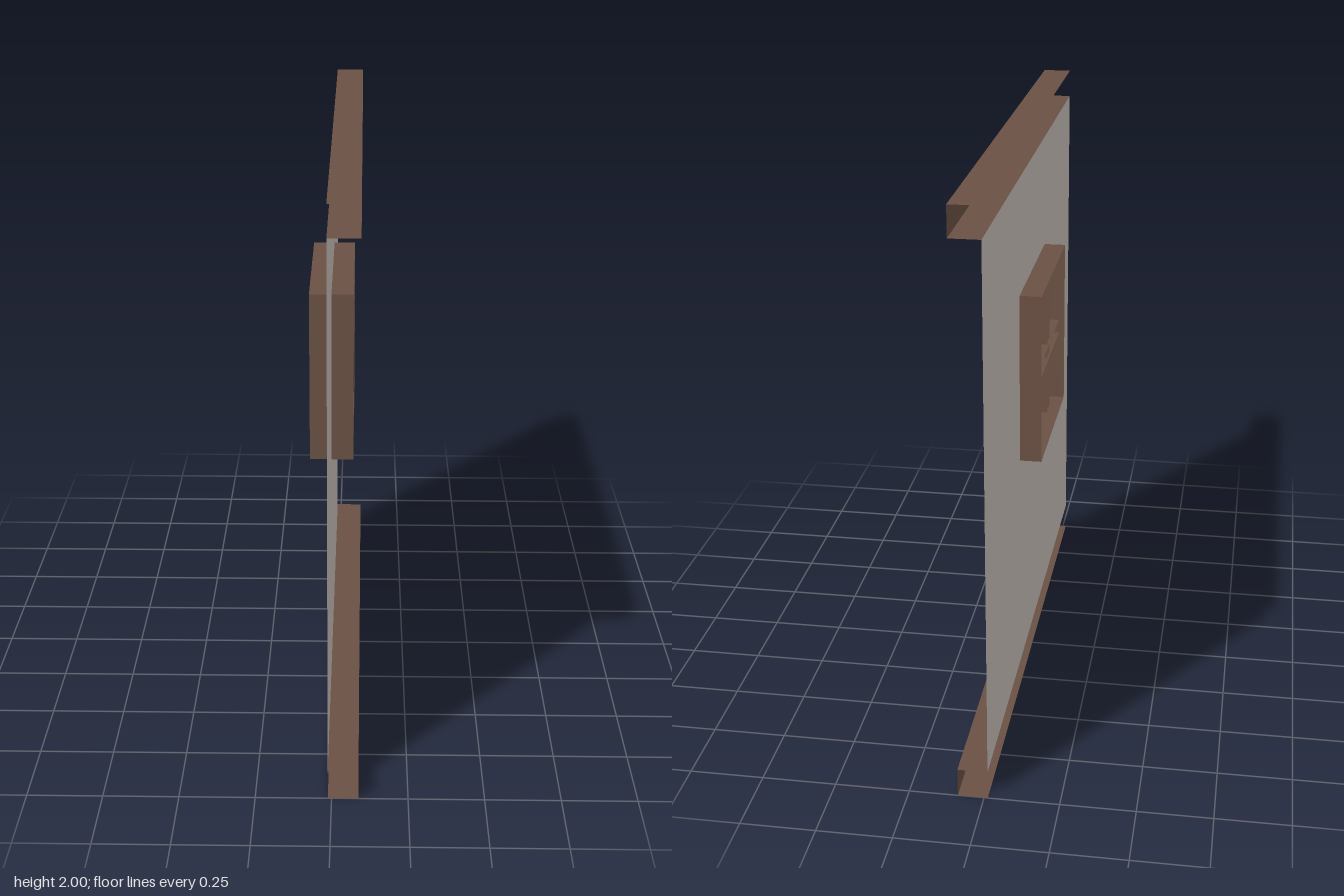
import * as THREE from 'three';

const mat = (name, color) =>
  new THREE.MeshStandardMaterial({ name, color, side: THREE.DoubleSide });

// Sweeps an open or closed section of [x, y] points along z, with flat faces and no end caps
function sweep(points, length) {
  const h = length / 2, pos = [];
  for (let i = 0; i < points.length - 1; i++) {
    const [ax, ay] = points[i], [bx, by] = points[i + 1];
    pos.push(ax, ay, -h, bx, by, -h, ax, ay, h);
    pos.push(ax, ay, h, bx, by, -h, bx, by, h);
  }
  const geo = new THREE.BufferGeometry();
  geo.setAttribute('position', new THREE.Float32BufferAttribute(pos, 3));
  geo.computeVertexNormals();
  return geo;
}

// Three-sided channel, open towards -x
const channel = (x0, x1, height, length) => sweep(
  [[x0, -height / 2], [x1, -height / 2], [x1, height / 2], [x0, height / 2]], length);

// Closed square outline
const square = (r) => [[-r, -r], [r, -r], [r, r], [-r, r], [-r, -r]];

export function createModel() {
  const wood = mat('brown wood', 0x6b5144);
  const plaster = mat('pale plaster', 0xcac1bb);
  const glass = mat('dark blue glass', 0x2d4052);

  const model = new THREE.Group();
  model.name = 'wallWithWindow';
  const add = (parent, name, geo, material, x = 0, y = 0) => {
    const mesh = new THREE.Mesh(geo, material);
    mesh.name = name;
    mesh.position.set(x, y, 0);
    parent.add(mesh);
    return mesh;
  };

  const wallX = -0.0125, frontX = 0.0625, backX = -0.0875;

  // Wall sheet between two beams
  add(model, 'wall', new THREE.PlaneGeometry(2, 1.8).rotateY(Math.PI / 2), plaster, wallX, 1);
  for (const [name, y] of [['bottomBeam', 0.05], ['topBeam', 1.95]])
    add(model, name, channel(wallX, 0.0875, 0.1, 2), wood, 0, y);

  // Window, set through the wall
  const win = new THREE.Group();
  win.name = 'window';
  win.position.y = 1.2;
  model.add(win);

  // Frame: outer sides, front ring and the inner reveal down to the glass
  const glassX = wallX + 0.005;
  add(win, 'frameSides', sweep(square(0.3), frontX - backX).rotateY(Math.PI / 2), wood, wallX);
  const ring = new THREE.Shape(square(0.3).map(([x, y]) => new THREE.Vector2(x, y)));
  ring.holes.push(new THREE.Path(square(0.2).map(([x, y]) => new THREE.Vector2(x, y))));
  add(win, 'frameFront', new THREE.ShapeGeometry(ring).rotateY(Math.PI / 2), wood, frontX);
  add(win, 'frameReveal', sweep(square(0.2).reverse(), frontX - glassX).rotateY(Math.PI / 2),
    wood, (frontX + glassX) / 2);
  add(win, 'pane', new THREE.PlaneGeometry(0.4, 0.4).rotateY(Math.PI / 2), glass, glassX);

  // Glazing bars, the horizontal one slightly proud
  add(win, 'horizontalBar', channel(-0.075, 0.042, 0.05, 0.48), wood, 0, 0.005);
  add(win, 'verticalBar', channel(-0.07, 0.03, 0.05, 0.46).rotateX(Math.PI / 2), wood);

  return model;
}
